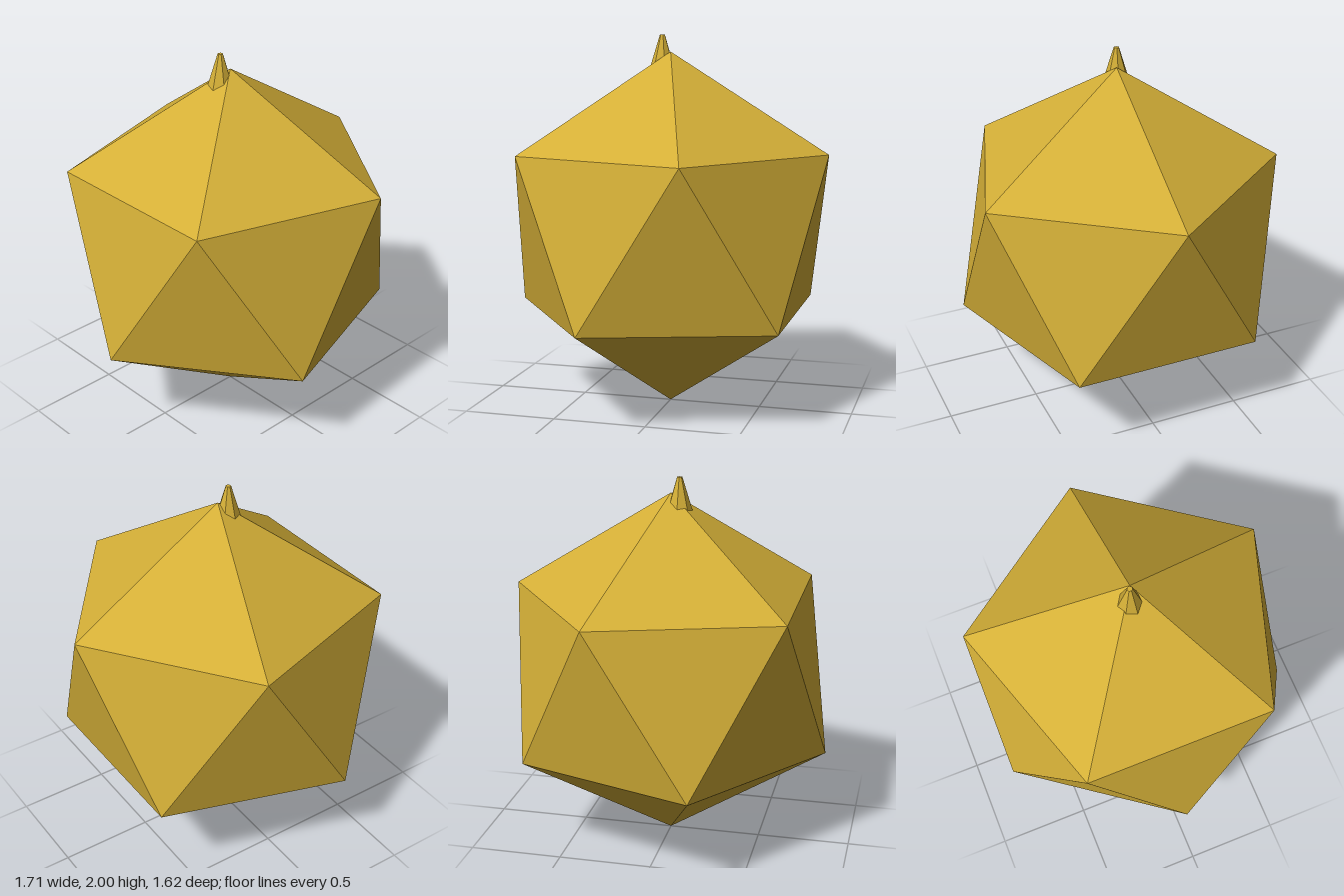
import * as THREE from 'three';

// Icosahedron standing on one corner, built from two poles and two five-point rings
function bodyGeometry(radius, centreY) {
  const ringRadius = radius * 2 / Math.sqrt(5);
  const ringY = radius / Math.sqrt(5);
  const ringPoint = (step, y) => {
    const a = step * Math.PI / 5;
    return [ringRadius * Math.cos(a), centreY + y, ringRadius * Math.sin(a)];
  };
  const top = [0, centreY + radius, 0];
  const bottom = [0, centreY - radius, 0];
  const positions = [];
  const face = (a, b, c) => positions.push(...a, ...b, ...c);
  for (let i = 0; i < 5; i++) {
    const upper = ringPoint(2 * i, ringY), upperNext = ringPoint(2 * i + 2, ringY);
    const lower = ringPoint(2 * i + 1, -ringY), lowerNext = ringPoint(2 * i + 3, -ringY);
    face(top, upperNext, upper);
    face(upper, upperNext, lower);
    face(lower, upperNext, lowerNext);
    face(bottom, lower, lowerNext);
  }
  const geometry = new THREE.BufferGeometry();
  geometry.setAttribute('position', new THREE.Float32BufferAttribute(positions, 3));
  geometry.computeVertexNormals();
  return geometry;
}

export function createModel() {
  const model = new THREE.Group();
  model.name = 'facetedGem';

  const gold = new THREE.MeshStandardMaterial({ color: 0xd4af37, flatShading: true });
  gold.name = 'gold';

  // Large faceted body
  const body = new THREE.Mesh(bodyGeometry(0.955, 0.957), gold);
  body.name = 'body';
  model.add(body);

  // Small seven-sided stem, slightly off the top corner
  const bottomY = 1.81, topY = 2;
  const stem = new THREE.Mesh(new THREE.CylinderGeometry(0.014, 0.072, topY - bottomY, 7), gold);
  stem.name = 'stem';
  stem.position.set(-0.05, (bottomY + topY) / 2, -0.02);
  stem.rotation.y = Math.PI;
  model.add(stem);

  return model;
}
